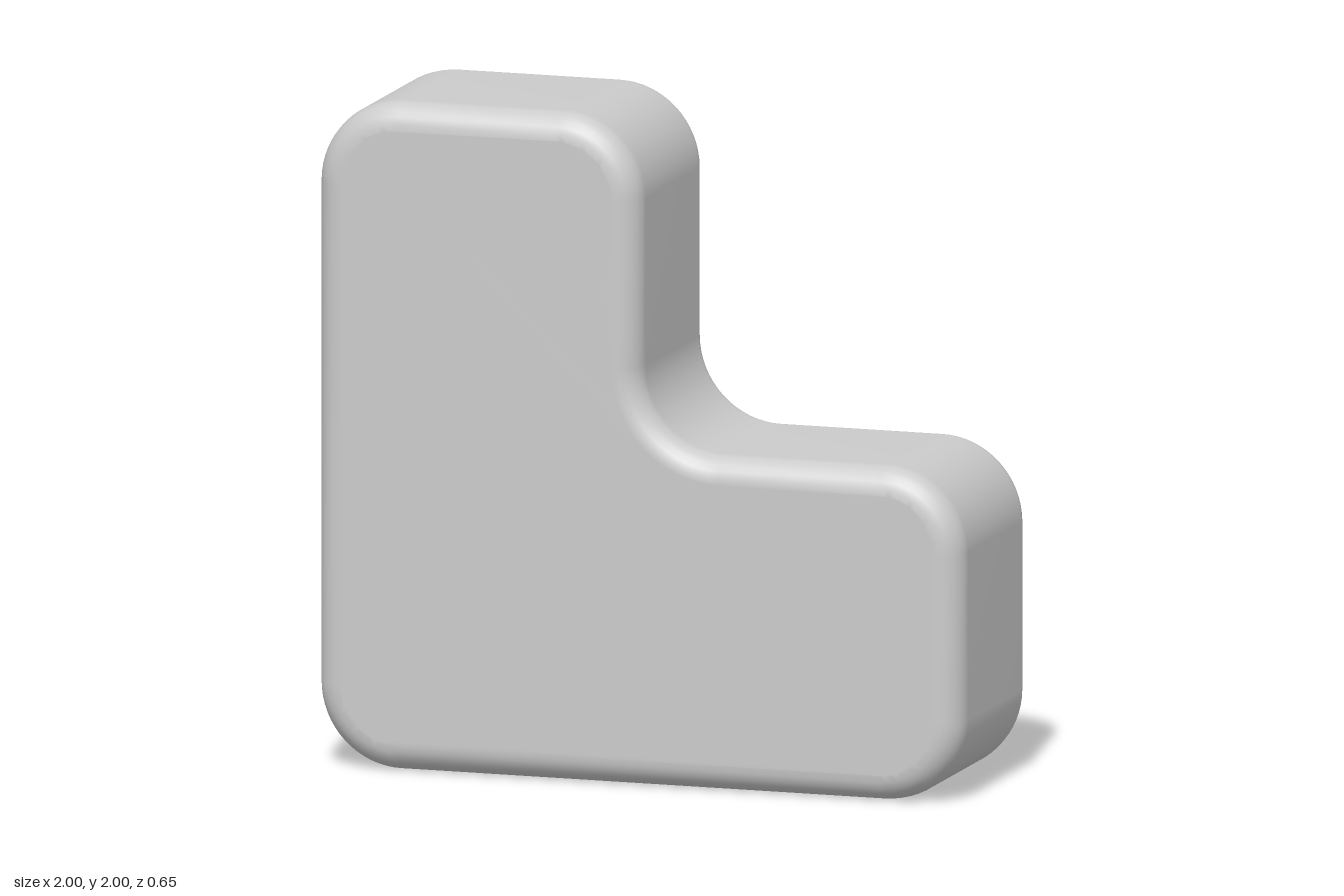
import * as THREE from 'three';
import { mergeVertices } from 'three/addons/utils/BufferGeometryUtils.js';

const RADIUS = 0.25; // rounding of the outline corners
const BEVEL = 0.08; // rounding of the front and back edges
const DEPTH = 0.65;

// Corner points of the L, counter-clockwise; the inner one is concave
const corners = [
  // arc centre x, y, start angle in quarter turns, concave
  [-1 + RADIUS, RADIUS, 2, false],
  [1 - RADIUS, RADIUS, 3, false],
  [1 - RADIUS, 1 - RADIUS, 0, false],
  [RADIUS, 1 + RADIUS, 3, true],
  [-RADIUS, 2 - RADIUS, 0, false],
  [-1 + RADIUS, 2 - RADIUS, 1, false],
];

function roundedOutline() {
  const shape = new THREE.Shape();
  for (const [x, y, quarter, concave] of corners) {
    const start = quarter * Math.PI / 2;
    const sweep = concave ? -Math.PI / 2 : Math.PI / 2;
    shape.absarc(x, y, RADIUS, start, start + sweep, concave);
  }
  shape.closePath();
  return shape;
}

export function createModel() {
  const group = new THREE.Group();
  group.name = 'roundedLBlock';

  // Extruded body with the bevel kept inside the outline
  let geometry = new THREE.ExtrudeGeometry(roundedOutline(), {
    depth: DEPTH - 2 * BEVEL,
    bevelEnabled: true,
    bevelThickness: BEVEL,
    bevelSize: BEVEL,
    bevelOffset: -BEVEL,
    bevelSegments: 6,
    curveSegments: 8,
  });
  geometry.translate(0, 0, BEVEL - DEPTH / 2);

  // Weld the faces for smooth normals all over
  geometry.deleteAttribute('uv');
  geometry.deleteAttribute('normal');
  geometry = mergeVertices(geometry, 1e-4);
  geometry.computeVertexNormals();

  const body = new THREE.Mesh(geometry, new THREE.MeshStandardMaterial({ color: 0xcccccc }));
  body.name = 'body';
  group.add(body);
  return group;
}
